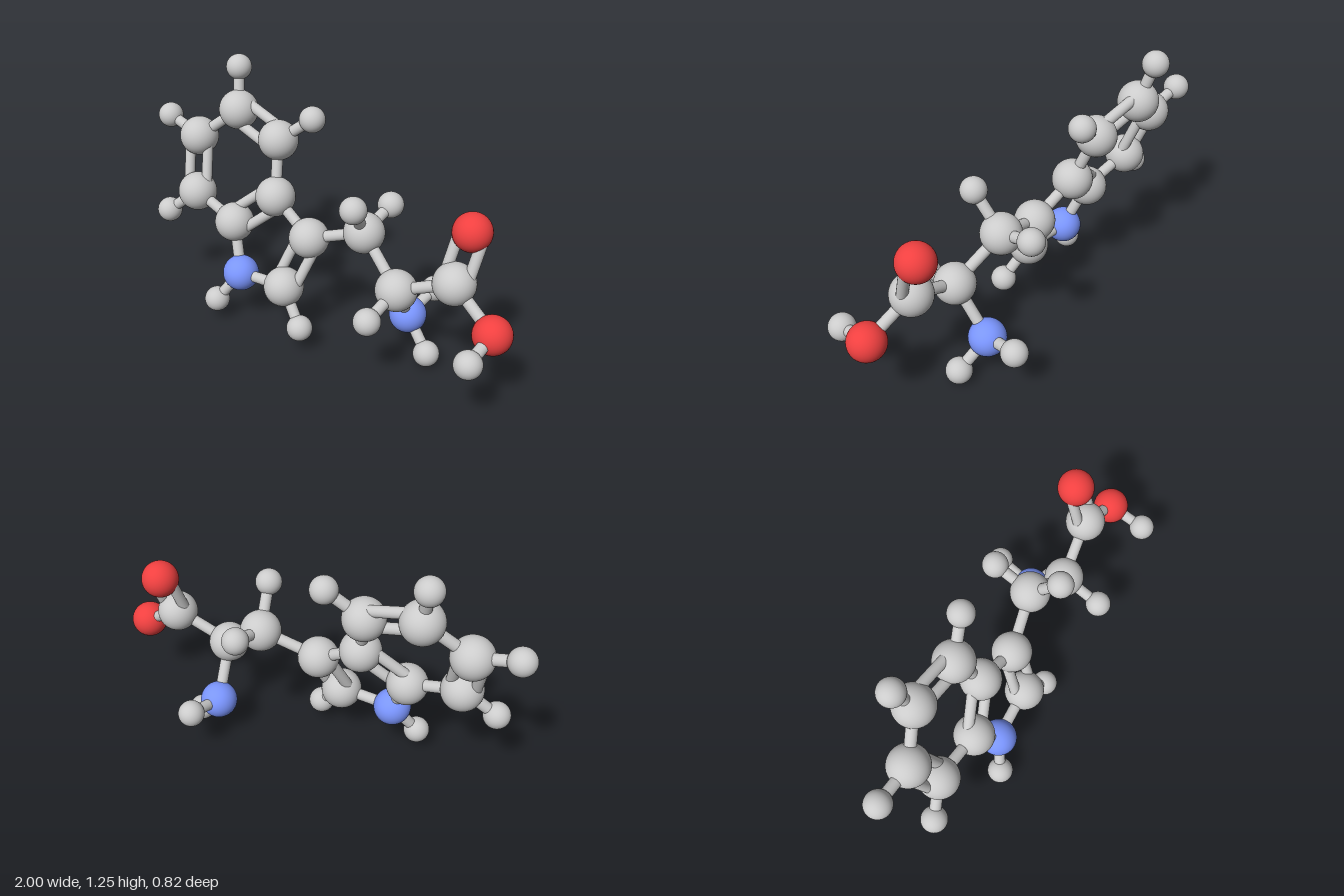
import * as THREE from 'three';

const V = (x, y, z) => new THREE.Vector3(x, y, z);
const grey = new THREE.MeshStandardMaterial({ color: 0xcccccc });
const red = new THREE.MeshStandardMaterial({ color: 0xf04040 });
const blue = new THREE.MeshStandardMaterial({ color: 0x7b96ff });

// Ball types: radius, material, name
const KINDS = {
  C: [0.096, grey, 'carbonBall'],
  H: [0.062, grey, 'hydrogenBall'],
  O: [0.087, red, 'oxygenBall'],
  N: [0.088, blue, 'nitrogenBall'],
};

// Atom centres; the first letter of each key is its type
const ATOMS = {
  // six-sided ring
  C1: V(-0.535, 1.0, -0.285), C2: V(-0.283, 0.915, -0.212),
  C3: V(-0.745, 0.84, -0.247), C4: V(-0.712, 0.583, -0.15),
  C5: V(-0.463, 0.5, -0.08), C6: V(-0.252, 0.668, -0.115),
  H1: V(-0.56, 1.193, -0.345), H2: V(-0.115, 1.04, -0.232),
  H3: V(-0.94, 0.9, -0.295), H4: V(-0.872, 0.455, -0.125),
  // five-sided ring
  C7: V(-0.04, 0.53, -0.043), C8: V(-0.13, 0.29, 0.048), N1: V(-0.388, 0.275, 0.005),
  H8: V(-0.013, 0.13, 0.118), H5: V(-0.505, 0.117, 0.05),
  // side chain
  C9: V(0.235, 0.625, -0.045), H9: V(0.238, 0.803, 0.095), H10: V(0.287, 0.69, -0.234),
  C10: V(0.44, 0.437, 0.063), H11: V(0.384, 0.373, 0.26),
  C11: V(0.705, 0.555, 0.082), O1: V(0.743, 0.778, 0.01),
  O2: V(0.908, 0.406, 0.165), H12: V(0.863, 0.363, 0.347),
  N2: V(0.443, 0.208, -0.107), H13: V(0.567, 0.067, -0.036), H14: V(0.507, 0.26, -0.293),
};

const SINGLE = [
  'C1-C3', 'C2-C6', 'C4-C5', 'C1-H1', 'C2-H2', 'C3-H3', 'C4-H4',
  'C5-N1', 'N1-C8', 'N1-H5', 'C8-H8', 'C6-C7',
  'C7-C9', 'C9-H9', 'C9-H10', 'C9-C10', 'C10-H11', 'C10-C11',
  'C10-N2', 'N2-H13', 'N2-H14', 'C11-O2', 'O2-H12',
];
// The third atom fixes the plane in which the paired rods lie
const DOUBLE = ['C1-C2-C6', 'C3-C4-C5', 'C5-C6-C2', 'C7-C8-N1', 'C11-O1-O2'];

const centresOf = (bond) => bond.split('-').map((key) => ATOMS[key]);

function rod(a, b, radius, name) {
  const dir = b.clone().sub(a);
  const mesh = new THREE.Mesh(new THREE.CylinderGeometry(radius, radius, dir.length(), 20), grey);
  mesh.position.copy(a).add(b).multiplyScalar(0.5);
  mesh.quaternion.setFromUnitVectors(V(0, 1, 0), dir.normalize());
  mesh.name = name;
  return mesh;
}

export function createModel() {
  const model = new THREE.Group();
  model.name = 'ballAndStickMolecule';
  const balls = new THREE.Group();
  balls.name = 'balls';
  const rods = new THREE.Group();
  rods.name = 'rods';
  model.add(balls, rods);

  // Balls
  for (const [key, centre] of Object.entries(ATOMS)) {
    const [radius, material, name] = KINDS[key[0]];
    const ball = new THREE.Mesh(new THREE.SphereGeometry(radius, 40, 28), material);
    ball.position.copy(centre);
    ball.name = name;
    balls.add(ball);
  }

  // Single rods
  for (const bond of SINGLE) {
    const [a, b] = centresOf(bond);
    rods.add(rod(a, b, 0.027, 'singleRod'));
  }

  // Paired rods, set either side of the line between two balls
  for (const bond of DOUBLE) {
    const [a, b, c] = centresOf(bond);
    const dir = b.clone().sub(a).normalize();
    const side = c.clone().sub(a);
    side.addScaledVector(dir, -side.dot(dir)).setLength(0.055);
    for (const s of [-1, 1]) {
      rods.add(rod(a.clone().addScaledVector(side, s), b.clone().addScaledVector(side, s), 0.026, 'pairedRod'));
    }
  }
  return model;
}
